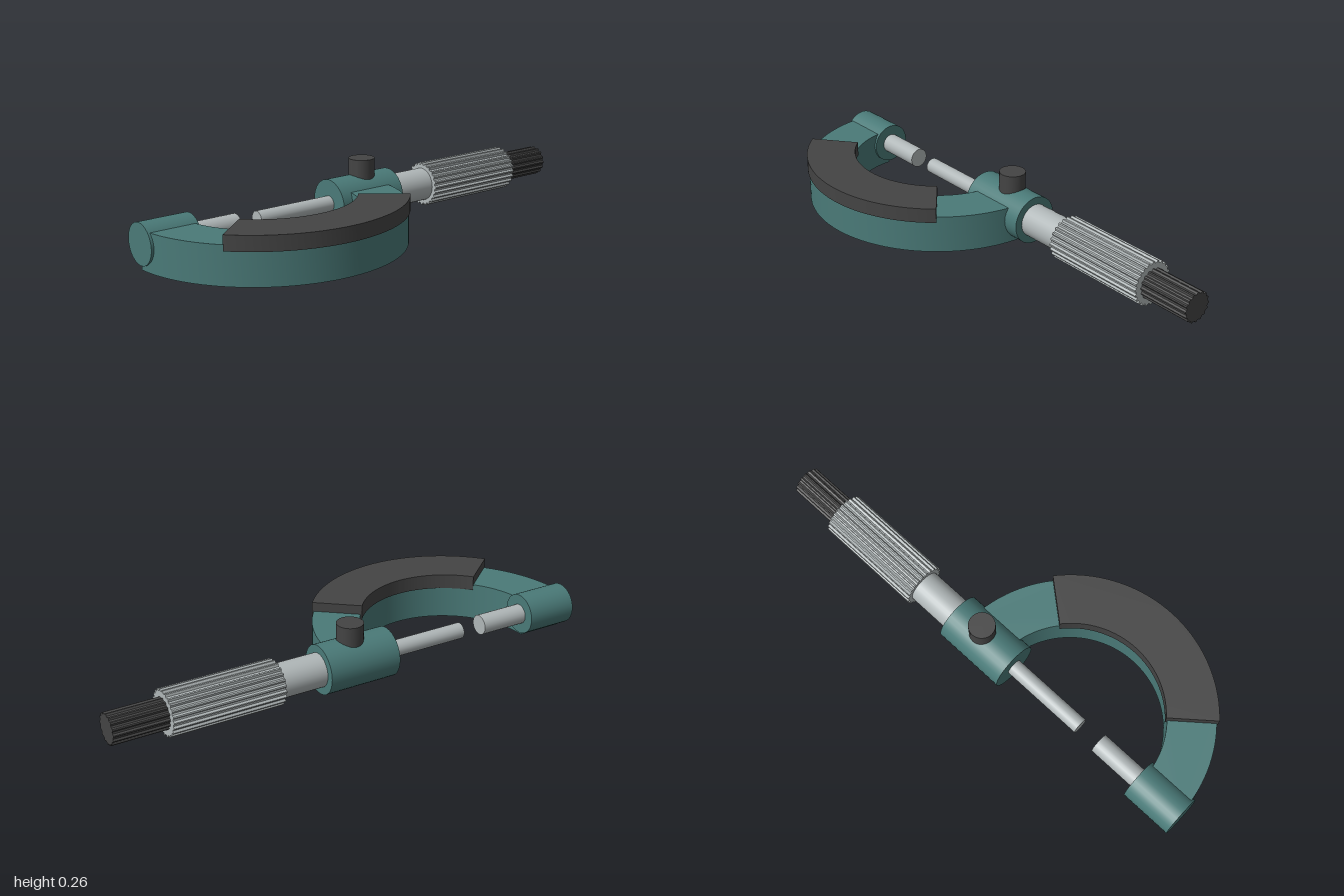
import * as THREE from 'three';
import { toCreasedNormals } from 'three/addons/utils/BufferGeometryUtils.js';

const AXIS_Y = 0.098, AXIS_Z = -0.226; // measuring axis, runs along x
const BOW_X = -0.451;                  // centre of the curved frame

function material(name, color) {
  const m = new THREE.MeshStandardMaterial({ color });
  m.name = name;
  return m;
}

export function createModel() {
  const model = new THREE.Group();
  model.name = 'micrometer';
  const teal = material('teal enamel', 0x4a7a78);
  const dark = material('dark plastic', 0x444444);
  const steel = material('steel', 0xb0b7b8);

  function add(name, geometry, mat) {
    const mesh = new THREE.Mesh(geometry, mat);
    mesh.name = name;
    model.add(mesh);
    return mesh;
  }

  // Round bar on the measuring axis from x0 to x1
  function bar(name, x0, x1, radius, mat, sides = 32) {
    const g = new THREE.CylinderGeometry(radius, radius, x1 - x0, sides);
    g.rotateZ(-Math.PI / 2);
    add(name, g, mat).position.set((x0 + x1) / 2, AXIS_Y, AXIS_Z);
  }

  // Toothed bar on the measuring axis from x0 to x1
  function knurledBar(name, x0, x1, outer, inner, teeth, mat) {
    const points = [];
    const steps = [[0.0, outer], [0.22, outer], [0.45, inner], [0.77, inner]];
    for (let i = 0; i < teeth; i++) {
      for (const [t, r] of steps) {
        const a = ((i + t - 0.11) / teeth) * Math.PI * 2 + Math.PI / 2;
        points.push(new THREE.Vector2(Math.cos(a) * r, Math.sin(a) * r));
      }
    }
    const g = new THREE.ExtrudeGeometry(new THREE.Shape(points), { depth: x1 - x0, bevelEnabled: false });
    g.rotateY(Math.PI / 2);
    add(name, g, mat).position.set(x0, AXIS_Y, AXIS_Z);
  }

  // Flat arc slab between two angles, lying horizontally from y0 to y1
  function arcSlab(name, inner, outer, startDeg, y0, y1, mat) {
    const a0 = THREE.MathUtils.degToRad(startDeg), a1 = Math.PI - a0;
    const shape = new THREE.Shape();
    shape.absarc(0, 0, outer, a0, a1, false);
    shape.absarc(0, 0, inner, a1, a0, true);
    shape.closePath();
    const g = new THREE.ExtrudeGeometry(shape, { depth: y1 - y0, bevelEnabled: false, curveSegments: 32 });
    g.rotateX(Math.PI / 2);
    add(name, toCreasedNormals(g, 0.6), mat).position.set(BOW_X, y1, AXIS_Z);
  }

  // Curved frame and its insulating grip
  arcSlab('frame', 0.357, 0.544, 0, 0, 0.152, teal);
  arcSlab('gripPad', 0.351, 0.55, 39.6, 0.13, 0.19, dark);

  // Fixed jaw on the right-hand side of the tool
  bar('anvilHolder', -1, -0.79, 0.081, teal);
  bar('anvil', -0.79, -0.59, 0.04, steel, 24);

  // Moving spindle, sleeve and thimble
  bar('spindle', -0.495, -0.15, 0.032, steel, 24);
  bar('spindleHousing', -0.15, 0.15, 0.0975, teal);
  bar('sleeve', 0.15, 0.335, 0.067, steel);
  knurledBar('thimble', 0.335, 0.785, 0.09, 0.082, 24, steel);
  knurledBar('ratchetKnob', 0.785, 1, 0.061, 0.055, 16, dark);

  // Lock knob on top of the housing
  add('lockKnob', new THREE.CylinderGeometry(0.0525, 0.0525, 0.13, 24), dark)
    .position.set(0.015, 0.195, AXIS_Z);

  return model;
}
